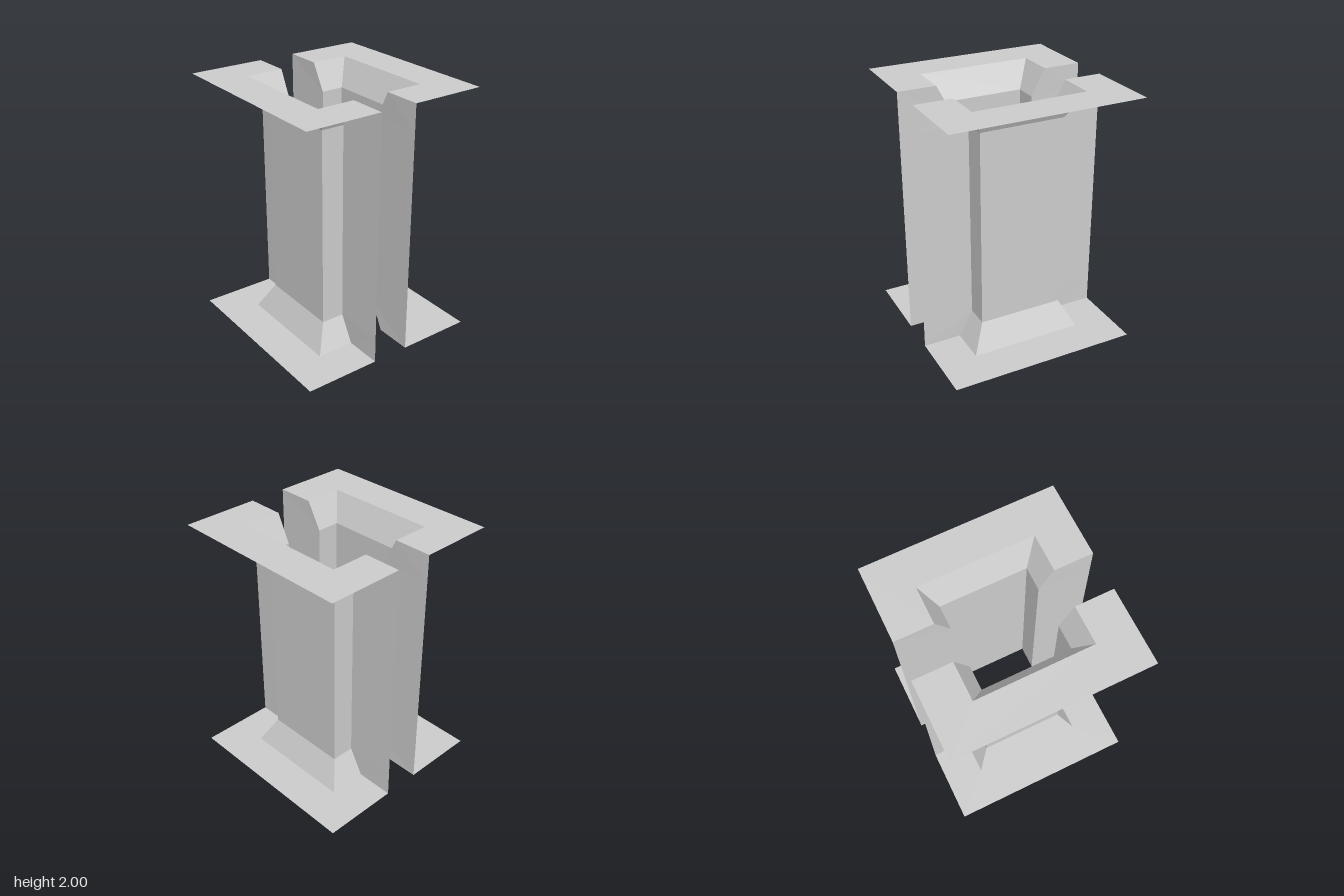
import * as THREE from 'three';

const OUTER = 0.75; // half width of the sheets
const GAP = 0.15;   // distance of each half from the parting plane
const MOUTH = 0.45; // half width of the flared openings
const SHAFT = 0.34; // half width of the straight shaft

const material = new THREE.MeshStandardMaterial({
  color: 0xcccccc, side: THREE.DoubleSide, flatShading: true,
});

// Folded wall: side flanges and shaft, lofted through four levels
function wallGeometry() {
  const levels = [
    [0, MOUTH, GAP], [0.21, SHAFT, 0.155], [1.79, SHAFT, 0.155], [2, MOUTH, GAP],
  ];
  const positions = [], indices = [];
  for (const [y, r, edge] of levels) {
    const section = [[OUTER, GAP], [r, edge], [r, r], [-r, r], [-r, edge], [-OUTER, GAP]];
    for (const [x, z] of section) positions.push(x, y, z);
  }
  for (let row = 0; row < 3; row++) {
    for (let i = 0; i < 5; i++) {
      const a = row * 6 + i, b = a + 1, c = a + 6, d = a + 7;
      indices.push(a, c, b, b, c, d);
    }
  }
  const indexed = new THREE.BufferGeometry();
  indexed.setAttribute('position', new THREE.Float32BufferAttribute(positions, 3));
  indexed.setIndex(indices);
  const geometry = indexed.toNonIndexed();
  geometry.computeVertexNormals();
  return geometry;
}

// U-shaped end sheet, lying flat around the mouth
function plateGeometry() {
  const outline = [
    [-OUTER, GAP], [-MOUTH, GAP], [-MOUTH, MOUTH], [MOUTH, MOUTH],
    [MOUTH, GAP], [OUTER, GAP], [OUTER, OUTER], [-OUTER, OUTER],
  ].map(([x, z]) => new THREE.Vector2(x, -z));
  return new THREE.ShapeGeometry(new THREE.Shape(outline)).rotateX(-Math.PI / 2);
}

export function createModel() {
  const model = new THREE.Group();
  model.name = 'splitFlangedDuct';
  const wall = wallGeometry();
  const plate = plateGeometry();

  // Two identical halves facing each other
  for (const [name, turn] of [['frontHalf', 0], ['backHalf', Math.PI]]) {
    const half = new THREE.Group();
    half.name = name;
    half.rotation.y = turn;

    const shaft = new THREE.Mesh(wall, material);
    shaft.name = 'flaredWall';
    half.add(shaft);

    for (const [plateName, y] of [['bottomPlate', 0], ['topPlate', 2]]) {
      const sheet = new THREE.Mesh(plate, material);
      sheet.name = plateName;
      sheet.position.y = y;
      half.add(sheet);
    }
    model.add(half);
  }
  return model;
}
